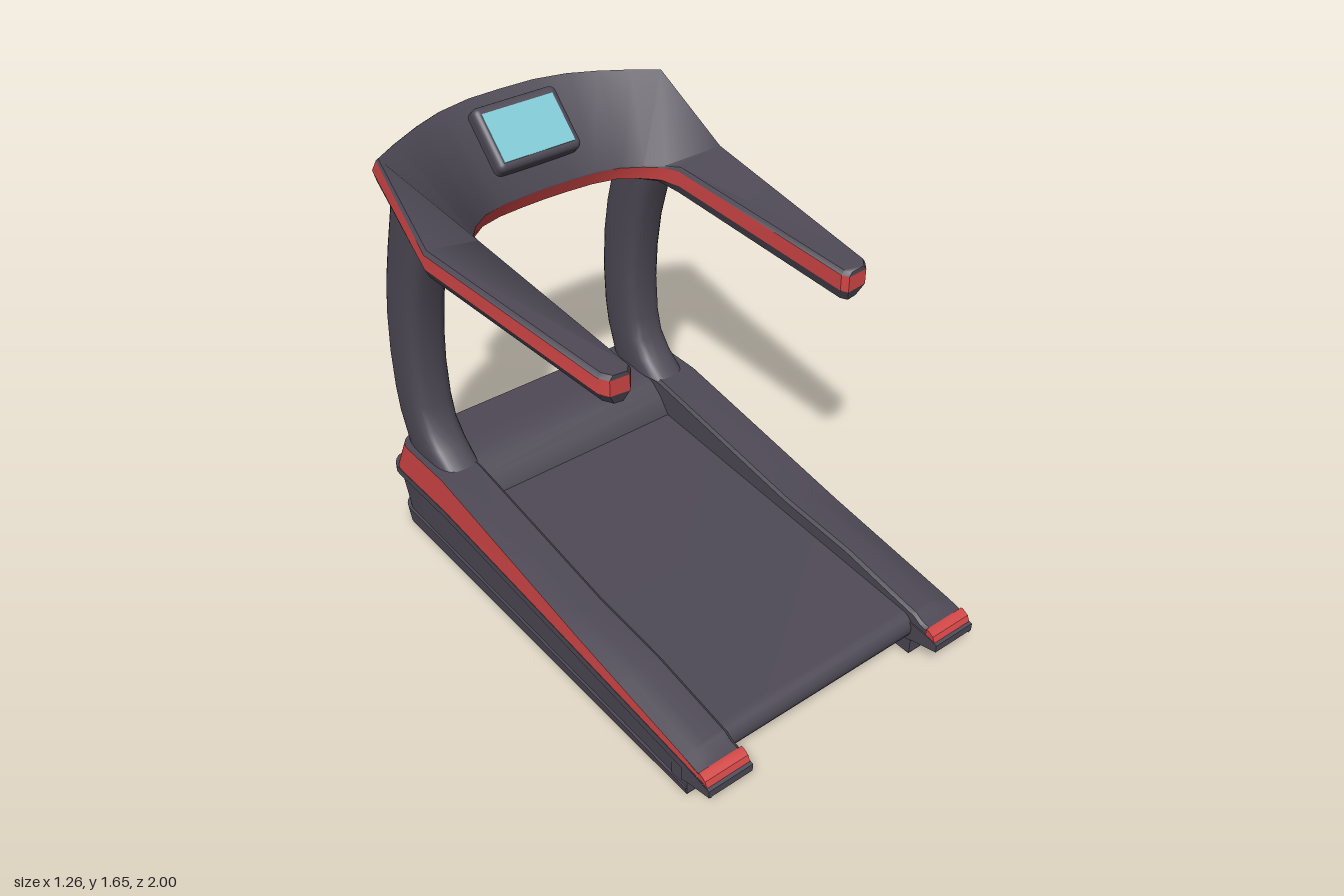
import * as THREE from 'three';
import { toCreasedNormals } from 'three/addons/utils/BufferGeometryUtils.js';
import { RoundedBoxGeometry } from 'three/addons/geometries/RoundedBoxGeometry.js';

const paint = (name, color) => {
  const m = new THREE.MeshStandardMaterial({ color, side: THREE.DoubleSide });
  m.name = name;
  return m;
};

// Piecewise linear height along z; points run from front to rear
const profile = (...pts) => (z) => {
  if (z >= pts[0][0]) return pts[0][1];
  for (let i = 1; i < pts.length; i++) {
    const [z0, y0] = pts[i - 1], [z1, y1] = pts[i];
    if (z >= z1) return y0 + (y1 - y0) * (z - z0) / (z1 - z0);
  }
  return pts[pts.length - 1][1];
};

// Skin over rows of [x, y, z] points
function skin(rows, crease = 0.6) {
  const n = rows[0].length, index = [];
  for (let i = 0; i < rows.length - 1; i++) {
    for (let j = 0; j < n - 1; j++) {
      const a = i * n + j, d = a + n;
      index.push(a, a + 1, d + 1, a, d + 1, d);
    }
  }
  const g = new THREE.BufferGeometry();
  g.setAttribute('position', new THREE.Float32BufferAttribute(rows.flat(2), 3));
  g.setIndex(index);
  return toCreasedNormals(g, crease);
}

// Side profile of [z, y] points, extruded from x0 to x1
function prism(pts, x0, x1) {
  const s = new THREE.Shape(pts.map(([z, y]) => new THREE.Vector2(-z, y)));
  const g = new THREE.ExtrudeGeometry(s, { depth: x1 - x0, bevelEnabled: false });
  g.rotateY(Math.PI / 2).translate(x0, 0, 0);
  return toCreasedNormals(g, 0.6);
}

// Plan outline from the left front, round the rear, to the right front
function outline(hx, rear, front) {
  const r = 0.08, half = [front, 0.87, 0.53, 0.3, -0.1, -0.56, -0.72].map((z) => [hx, z]);
  for (let i = 0; i <= 6; i++) {
    const t = (i / 6) * Math.PI / 2;
    half.push([hx - r + r * Math.cos(t), rear + r - r * Math.sin(t)]);
  }
  return [...half, ...half.slice().reverse().map(([x, z]) => [-x, z])];
}
const layer = (hx, rear, front, y) => outline(hx, rear, front).map(([x, z]) => [x, y(z), z]);

export function createModel() {
  const dark = paint('charcoal plastic', 0x4e4955);
  const red = paint('red trim', 0xd24646);
  const blue = paint('display blue', 0x80c9d6);
  const model = new THREE.Group();
  model.name = 'treadmill';
  const add = (name, geo, mat, parent = model) => {
    const m = new THREE.Mesh(geo, mat);
    m.name = name;
    parent.add(m);
    return m;
  };

  // Base: skirt, flange and red band stacked as layers around the plan
  const stripTop = profile([0.88, 0.03], [-0.3, 0.06], [-1, 0.07]);
  const flangeTop = profile([1, 0.13], [0.97, 0.14], [-0.56, 0.245], [-1, 0.245]);
  const bandTop = profile([0.97, 0.152], [0.9, 0.168], [0.3, 0.25], [-0.56, 0.39], [-1, 0.39]);
  const under = (z) => flangeTop(z) - 0.035;
  add('baseSkirt', skin([
    layer(0.595, -0.92, 0.88, () => 0), layer(0.6, -0.93, 0.88, stripTop),
    layer(0.59, -0.915, 0.88, stripTop), layer(0.594, -0.955, 0.88, under),
  ]), dark);
  add('baseFlange', skin([
    layer(0.59, -0.95, 1, under), layer(0.604, -0.98, 1, (z) => under(z) + 0.005),
    layer(0.604, -0.98, 1, flangeTop), layer(0.59, -0.95, 1, flangeTop),
  ]), dark);
  add('redBand', skin([layer(0.602, -0.96, 0.97, flangeTop), layer(0.6, -0.89, 0.97, bandTop)]), red);

  // Underside panel, open between the rails
  const floor = new THREE.Shape([
    ...outline(0.595, -0.92, 0.88), [-0.425, 0.88], [-0.425, -0.55], [0.425, -0.55], [0.425, 0.88],
  ].map((p) => new THREE.Vector2(...p)));
  add('undersidePanel', new THREE.ShapeGeometry(floor).rotateX(Math.PI / 2), dark);
  add('motorBayWall', prism([[-0.55, 0.002], [-0.55, 0.25], [-0.57, 0.25], [-0.57, 0.002]], -0.43, 0.43), dark);

  // Rear deck plate and motor hood slope
  const plate = new THREE.Shape(outline(0.6, -0.89, 0.97).filter((p) => p[1] <= -0.72)
    .map(([x, z]) => new THREE.Vector2(x, -z)));
  add('rearPlate', new THREE.ShapeGeometry(plate).rotateX(-Math.PI / 2).translate(0, 0.39, 0), dark);
  add('motorHood', prism([
    [-0.5, 0.22], [-0.51, 0.262], [-0.56, 0.325], [-0.61, 0.364], [-0.66, 0.382], [-0.72, 0.389], [-0.75, 0.389], [-0.75, 0.22],
  ], -0.44, 0.44), dark);

  // Running belt wrapped over a front roller
  const belt = [[-0.56, 0.15], [-0.56, 0.263]];
  for (let i = 0; i <= 10; i++) {
    const t = Math.PI / 2 - (i / 10) * Math.PI;
    belt.push([0.825 + 0.055 * Math.cos(t), 0.115 + 0.055 * Math.sin(t)]);
  }
  add('runningBelt', prism(belt, -0.43, 0.43), dark);

  // Foot rails, noses and uprights, built on one side and mirrored
  const railTop = profile([0.95, 0.165], [0.91, 0.172], [0.88, 0.19], [0.53, 0.248], [0.2, 0.272], [-0.56, 0.39]);
  const railZ = [0.955, 0.91, 0.88, 0.87, 0.53, 0.3, 0.2, -0.1, -0.56, -0.72];
  const line = (x, y) => railZ.map((z) => [x, y(z), z]);
  // Upright sections: front z, front y, rear z, rear y
  const sections = [
    [-0.56, 0.385, -0.89, 0.385], [-0.64, 0.44, -0.905, 0.45], [-0.7, 0.51, -0.925, 0.52],
    [-0.725, 0.6, -0.94, 0.62], [-0.735, 0.75, -0.947, 0.78], [-0.725, 0.9, -0.935, 0.95],
    [-0.7, 1.05, -0.91, 1.09], [-0.655, 1.2, -0.865, 1.25], [-0.585, 1.38, -0.785, 1.51],
  ];
  const pow = (v) => Math.sign(v) * Math.abs(v) ** 0.6;
  const uprightRows = sections.map(([zf, yf, zr, yr]) => Array.from({ length: 25 }, (_, i) => {
    const t = (i / 24) * Math.PI * 2, s = pow(Math.sin(t)), k = (s + 1) / 2;
    return [0.493 + 0.083 * pow(Math.cos(t)), yf + (yr - yf) * k, zf + (zr - zf) * k];
  }));
  for (const side of [1, -1]) {
    const g = new THREE.Group();
    g.name = side > 0 ? 'leftSide' : 'rightSide';
    g.scale.x = side;
    model.add(g);
    add('footRail', skin([
      line(0.6, bandTop), line(0.56, (z) => (bandTop(z) + railTop(z)) / 2 + 0.002),
      line(0.52, railTop), line(0.44, railTop), line(0.428, (z) => railTop(z) - 0.01),
      line(0.425, (z) => (z > 0.875 ? 0.1 : 0)),
    ], 0.5), dark, g);
    add('railFront', prism([[0.88, 0.002], [0.88, 0.12], [0.8, 0.12], [0.8, 0.002]], 0.426, 0.594), dark, g);
    add('flangeNose', prism([[1, 0.1], [1, 0.13], [0.97, 0.14], [0.86, 0.147], [0.86, 0.06], [0.9, 0.075]], 0.422, 0.603), dark, g);
    add('redNose', prism([[0.988, 0.134], [0.978, 0.155], [0.955, 0.168], [0.945, 0.168], [0.945, 0.135]], 0.424, 0.602), red, g);
    add('upright', skin(uprightRows, 0.9), dark, g);
  }

  // Console and handlebars: outer edge, inner edge, and blend from arm to console
  const stations = [
    [[0.525, 1.355, 0.415], [0.45, 1.35, 0.415], 0],
    [[0.548, 1.36, 0.385], [0.432, 1.355, 0.395], 0],
    [[0.632, 1.425, -0.45], [0.422, 1.4, -0.44], 0.1],
    [[0.6, 1.622, -0.77], [0.408, 1.385, -0.51], 0.75],
    [[0.5, 1.632, -0.82], [0.36, 1.378, -0.57], 0.9],
    [[0.38, 1.64, -0.875], [0.29, 1.375, -0.62], 1],
    [[0.27, 1.646, -0.915], [0.2, 1.372, -0.648], 1],
    [[0.14, 1.65, -0.938], [0.1, 1.37, -0.659], 1],
    [[0, 1.65, -0.942], [0, 1.37, -0.662], 1],
  ];
  const path = [...stations, ...stations.slice(0, -1).reverse()
    .map(([[a, b, c], [d, e, f], w]) => [[-a, b, c], [-d, e, f], w])];
  // Offsets [inset, dy, dz] on the arm and on the console
  const edge = (k, arm, con) => path.map((p) => {
    const o = arm.map((v, i) => v + (con[i] - v) * p[2]);
    const toward = Math.sign(p[1 - k][0] - p[k][0]);
    return [p[k][0] + toward * o[0], p[k][1] + o[1], p[k][2] + o[2]];
  });
  const OT = edge(0, [0.012, 0, 0], [0.002, 0, 0.004]), OR = edge(0, [0, -0.016, 0], [0, -0.008, -0.008]);
  const OM = edge(0, [0, -0.072, 0], [0, -0.055, -0.056]);
  const OB = edge(0, [0.025, -0.115, -0.015], [0, -0.09, -0.035]);
  const IT = edge(1, [0.01, 0, 0], [0, 0, 0]), IR = edge(1, [0, -0.016, 0], [0, -0.005, 0]);
  const IM = edge(1, [0, -0.075, 0], [0, -0.06, -0.025]);
  const IB = edge(1, [0.015, -0.115, -0.015], [0, -0.066, -0.05]);
  add('consoleTop', skin([OR, OT, IT, IR], 0.9), dark);
  add('consoleOuterTrim', skin([OM, OR]), red);
  add('consoleInnerTrim', skin([IR, IM]), red);
  add('consoleUnderside', skin([IM, IB, OB, OM], 0.7), dark);
  // Handlebar ends
  const last = path.length - 1;
  const tip = (name, low, high, mat) => {
    add(`left${name}`, skin([[low[1][0], low[0][0]], [high[1][0], high[0][0]]]), mat);
    add(`right${name}`, skin([[low[0][last], low[1][last]], [high[0][last], high[1][last]]]), mat);
  };
  tip('GripRim', [OR, IR], [OT, IT], dark);
  tip('GripTip', [OM, IM], [OR, IR], red);
  tip('GripTipLower', [OB, IB], [OM, IM], dark);

  // Tilted display
  const display = new THREE.Group();
  display.name = 'display';
  display.position.set(0, 1.566, -0.765);
  display.rotation.x = -Math.PI / 4;
  model.add(display);
  add('displayBezel', new RoundedBoxGeometry(0.352, 0.25, 0.09, 4, 0.025).translate(0, 0, -0.045), dark, display);
  add('screen', new THREE.BoxGeometry(0.3, 0.19, 0.006).translate(-0.003, -0.004, 0.001), blue, display);
  return model;
}
